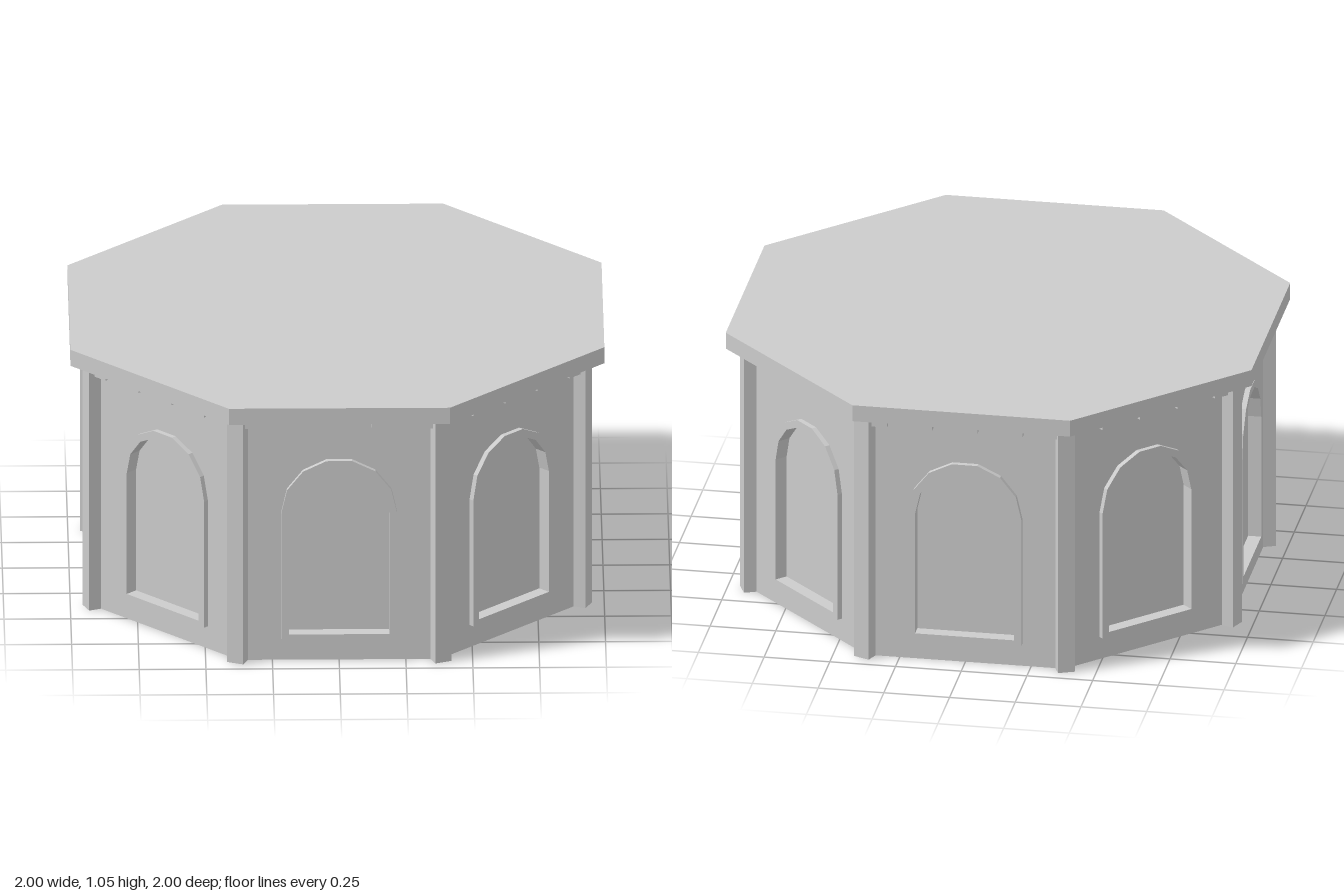
import * as THREE from 'three';

const SIDES = 8, APOTHEM = 0.91, WALL_H = 0.99, ROOF_H = 0.065;
const CORNER = APOTHEM / Math.cos(Math.PI / SIDES);
const HALF_WALL = APOTHEM * Math.tan(Math.PI / SIDES);
const material = new THREE.MeshStandardMaterial({ color: 0xcccccc, flatShading: true, side: THREE.DoubleSide });

// Outline of a round-headed niche, with a seven-sided arch
function archPoints(halfWidth, bottom, spring) {
  const points = [new THREE.Vector2(-halfWidth, bottom), new THREE.Vector2(halfWidth, bottom)];
  for (let i = 0; i <= 7; i++) {
    const a = (i / 7) * Math.PI;
    points.push(new THREE.Vector2(halfWidth * Math.cos(a), spring + halfWidth * Math.sin(a)));
  }
  return points;
}

// Extrude an outline from one distance off the centre to another
function slab(points, hole, from, to) {
  const shape = new THREE.Shape(points);
  if (hole) shape.holes.push(new THREE.Path(hole));
  const geometry = new THREE.ExtrudeGeometry(shape, { depth: to - from, bevelEnabled: false });
  return geometry.translate(0, 0, from);
}

function add(parent, name, geometry, x = 0, y = 0, z = 0) {
  const mesh = new THREE.Mesh(geometry, material);
  mesh.name = name;
  mesh.position.set(x, y, z);
  parent.add(mesh);
  return mesh;
}

export function createModel() {
  const model = new THREE.Group();
  model.name = 'octagonalBuilding';

  const outer = archPoints(0.217, 0.09, 0.6);
  const inner = archPoints(0.188, 0.11, 0.6);
  const wallOutline = [[-1, 0], [1, 0], [1, 1], [-1, 1]]
    .map(([x, y]) => new THREE.Vector2(x * HALF_WALL, y * WALL_H));

  const wall = slab(wallOutline, inner, APOTHEM - 0.008, APOTHEM);
  const frame = slab(outer, inner, APOTHEM - 0.045, APOTHEM + 0.02);
  const panel = slab(inner, null, APOTHEM - 0.045, APOTHEM - 0.03);
  const dentil = new THREE.BoxGeometry(0.1, 0.045, 0.05);
  const post = new THREE.BoxGeometry(0.065, WALL_H, 0.07);

  for (let i = 0; i < SIDES; i++) {
    const angle = (i / SIDES) * Math.PI * 2;

    // Wall bay with a framed blind arch and a row of dentils under the eaves
    const bay = new THREE.Group();
    bay.name = 'wallBay';
    bay.rotation.y = angle;
    add(bay, 'wall', wall);
    add(bay, 'archFrame', frame);
    add(bay, 'archPanel', panel);
    for (let k = -2; k <= 2; k++) {
      add(bay, 'dentil', dentil, k * 0.172, WALL_H - 0.0225, APOTHEM);
    }
    model.add(bay);

    // Corner post
    const corner = new THREE.Group();
    corner.name = 'cornerPost';
    corner.rotation.y = angle + Math.PI / SIDES;
    add(corner, 'post', post, 0, WALL_H / 2, CORNER);
    model.add(corner);
  }

  // Flat roof slab
  const roofRadius = 1 / Math.cos(Math.PI / SIDES);
  const roof = new THREE.CylinderGeometry(roofRadius, roofRadius, ROOF_H, SIDES, 1, false, Math.PI / SIDES);
  add(model, 'roof', roof, 0, WALL_H + ROOF_H / 2, 0);

  return model;
}
